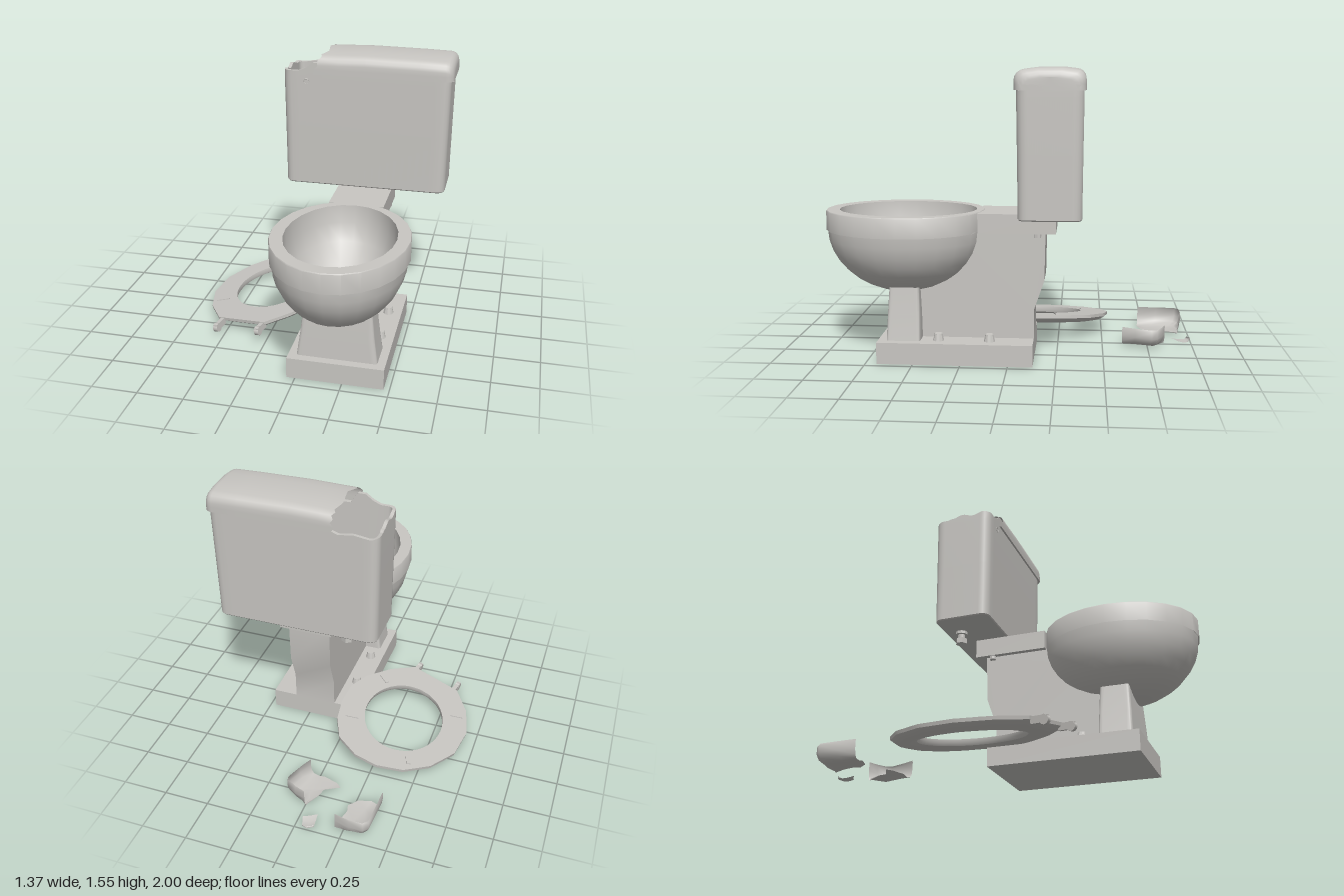
import * as THREE from 'three';
import { toCreasedNormals } from 'three/addons/utils/BufferGeometryUtils.js';

const porcelain = new THREE.MeshStandardMaterial({ color: 0xc8c6c2, side: THREE.DoubleSide });
porcelain.name = 'porcelain';

const CX = 0.212; // centre line of the bowl and base

function add(parent, name, geo, x = 0, y = 0, z = 0, crease = 0.6) {
  const mesh = new THREE.Mesh(toCreasedNormals(geo, crease), porcelain);
  mesh.name = name;
  mesh.position.set(x, y, z);
  parent.add(mesh);
  return mesh;
}

// Skin a list of equal-length rows of [x, y, z] points
function loft(rows, closed = true) {
  const n = rows[0].length, idx = [];
  for (let i = 0; i < rows.length - 1; i++)
    for (let j = 0; j < (closed ? n : n - 1); j++) {
      const a = i * n + j, b = i * n + (j + 1) % n;
      idx.push(a, a + n, b, b, a + n, b + n);
    }
  const g = new THREE.BufferGeometry();
  g.setAttribute('position', new THREE.Float32BufferAttribute(rows.flat(2), 3));
  g.setIndex(idx);
  return g;
}

// Egg-shaped ring with separate front and back lengths
function egg(y, rx, front, back, cz = 0.56) {
  return Array.from({ length: 24 }, (_, i) => {
    const a = i / 24 * Math.PI * 2, c = Math.cos(a);
    return [CX + rx * Math.sin(a), y, cz + c * (c > 0 ? front : back)];
  });
}

// Rounded rectangle ring, long edges subdivided; y may depend on x and z
function roundRect(x0, x1, z0, z1, r, yOf) {
  const pts = [];
  const corners = [[x1 - r, z1 - r], [x0 + r, z1 - r], [x0 + r, z0 + r], [x1 - r, z0 + r]];
  corners.forEach(([cx, cz], k) => {
    for (let i = 0; i <= 4; i++) {
      const a = (k + i / 4) * Math.PI / 2;
      pts.push([cx + r * Math.cos(a), cz + r * Math.sin(a)]);
    }
    const p = pts[pts.length - 1], q = corners[(k + 1) % 4], a = (k + 1) * Math.PI / 2;
    const e = [q[0] + r * Math.cos(a), q[1] + r * Math.sin(a)];
    for (let i = 1; i < 20; i++) pts.push([p[0] + (e[0] - p[0]) * i / 20, p[1] + (e[1] - p[1]) * i / 20]);
  });
  return pts.map(([x, z]) => [x, typeof yOf === 'function' ? yOf(x, z) : yOf, z]);
}

function buildBowl(g) {
  // Outer half shell, rim, then the inside down to the drain
  const rows = [];
  for (let i = 0; i <= 9; i++) {
    const a = (1 - i / 9) * Math.PI / 2, s = Math.cos(a);
    rows.push(egg(0.69 - 0.348 * Math.sin(a), 0.344 * s, 0.425 * s, 0.428 * s, 0.565));
  }
  rows.push(egg(0.683, 0.355, 0.437, 0.42), egg(0.785, 0.355, 0.437, 0.42), egg(0.79, 0.352, 0.434, 0.417));
  rows.push(egg(0.79, 0.285, 0.365, 0.378), egg(0.695, 0.28, 0.36, 0.37));
  rows.push(egg(0.6, 0.25, 0.33, 0.33), egg(0.51, 0.19, 0.27, 0.23, 0.55));
  rows.push(egg(0.46, 0.11, 0.18, 0.11, 0.51), egg(0.445, 0.06, 0.08, 0.06, 0.48));
  rows.push(egg(0.405, 0.045, 0.05, 0.05, 0.47), egg(0.4, 0, 0, 0, 0.47));
  add(g, 'bowl', loft(rows));
  add(g, 'bowlNeck', new THREE.BoxGeometry(0.3, 0.104, 0.41), CX, 0.735, -0.04);
  for (const s of [-1, 1])
    add(g, 'neckBolt', new THREE.CylinderGeometry(0.018, 0.018, 0.025, 8), CX + s * 0.13, 0.675, -0.15);
}

function buildPedestal(g) {
  add(g, 'base', new THREE.BoxGeometry(0.515, 0.115, 0.82), CX, 0.0575, 0.28);
  // Rear body cut to the underside of the bowl
  const side = new THREE.Shape([[0.13, 0.11], [0.13, 0.27], [0.185, 0.43], [0.19, 0.69], [-0.17, 0.69],
    [-0.2, 0.6], [-0.3, 0.455], [-0.48, 0.385], [-0.48, 0.11]].map(p => new THREE.Vector2(...p)));
  const body = new THREE.ExtrudeGeometry(side, { depth: 0.24, bevelEnabled: false });
  body.rotateY(Math.PI / 2);
  add(g, 'pedestalBody', body, CX - 0.12);
  // Flared front column
  const col = (y, hx, z0, z1) => roundRect(CX - hx, CX + hx, z0, z1, 0.015, y);
  add(g, 'pedestalColumn', loft([col(0.11, 0.215, 0.465, 0.645), col(0.25, 0.195, 0.468, 0.64), col(0.395, 0.18, 0.475, 0.632)]));
  // Floor bolts
  for (const s of [-1, 1]) for (const z of [0.1, 0.37])
    add(g, 'floorBolt', new THREE.CylinderGeometry(0.021, 0.03, 0.04, 10), CX + s * 0.183, 0.133, z);
}

function buildTank(g) {
  // Broken top at the right-hand end: the front wall climbs to the lid, the back stays low
  const brokenTop = (x, z) => {
    if (x > 0) return 1.435;
    if (z < -0.3) return 1.425 + 0.006 * Math.sin(x * 40);
    if (z < -0.1) return 1.44 + 0.008 * Math.sin(z * 50);
    return x < -0.13 ? 1.447 : x < -0.1 ? 1.465 : 1.495;
  };
  const ring = (t, inset, y) => roundRect(-0.237 - 0.008 * t + inset, 0.657 + 0.008 * t - inset,
    -0.38 - 0.005 * t + inset, -0.064 + 0.008 * t - inset, 0.045 - inset, y);
  const flat = y => roundRect(CX, CX, -0.22, -0.22, 0, y);
  add(g, 'tank', loft([flat(0.797), ring(0, 0.005, 0.797), ring(0, 0, 0.803), ring(0.5, 0, 1.12), ring(1, 0, 1.4),
    ring(1, 0, brokenTop), ring(1, 0.018, brokenTop), ring(0, 0.018, 0.83), flat(0.83)]));
  add(g, 'leverHole', new THREE.TorusGeometry(0.014, 0.002, 6, 16), -0.113, 1.39, -0.056);

  // Water inlet under the tank
  add(g, 'inletPipe', new THREE.CylinderGeometry(0.02, 0.02, 0.08, 10), -0.05, 0.765, -0.29);
  add(g, 'inletNut', new THREE.CylinderGeometry(0.032, 0.032, 0.03, 6), -0.05, 0.74, -0.29);
  add(g, 'inletCollar', new THREE.CylinderGeometry(0.034, 0.034, 0.018, 10), -0.05, 0.79, -0.29);

  // Lid: a hollow arch swept along x, broken at one end and rounded at the other
  const arch = (x, inset, drop, jag, squash = 1) => {
    const h = 0.175 - inset, top = 1.547 - drop, r = 0.05, half = [[0.15, 1.432], [h, 1.432], [h, 1.46]];
    for (let i = 0; i <= 4; i++) {
      const a = i / 4 * Math.PI / 2;
      half.push([h - r + r * Math.cos(a), top - 0.008 - r + r * Math.sin(a)]);
    }
    half.push([h * 0.35, top]);
    const pts = [...half, ...half.slice().reverse().map(([z, y]) => [-z, y])];
    return pts.map(([z, y], i) => [x + (jag ? jag[i] : 0), y, -0.22 + z * squash]);
  };
  const jag = [-0.06, -0.055, -0.05, -0.03, -0.035, -0.02, -0.012, -0.02, 0.01, -0.01, 0.012, 0.0, 0.015, 0.005, 0.02, 0.0, 0.015, 0.01];
  const rows = [arch(-0.02, 0, 0.006, jag), arch(0.06, 0, 0.004), arch(0.21, 0, 0), arch(0.5, 0, 0.004), arch(0.635, 0, 0.008)];
  for (let i = 1; i <= 5; i++) {
    const a = i / 5 * Math.PI / 2, c = 0.045 * (1 - Math.cos(a));
    rows.push(arch(0.635 + 0.045 * Math.sin(a), c, 0.008 + c));
  }
  rows.push(arch(0.68, 0.045, 0.053, null, 0));
  add(g, 'tankLid', loft(rows, false), 0, 0, 0, 0.8);
}

function buildSeat(g) {
  const seat = new THREE.Group();
  seat.name = 'looseSeat';
  const ox = -0.33;
  const outline = [[-0.555, 0.28], [-0.65, 0.13], [-0.695, -0.05], [-0.67, -0.24], [-0.57, -0.4], [-0.44, -0.5],
    [-0.295, -0.535], [-0.165, -0.515], [-0.04, -0.43], [0.02, -0.3], [0.045, -0.15], [0.04, 0], [-0.015, 0.13],
    [-0.13, 0.265], [-0.26, 0.36]].map(([x, z]) => [x - ox, z]);
  // Split each outline edge, and pair every point with one on the elliptical opening
  const outer = outline.flatMap((p, i) => {
    const q = outline[(i + 1) % outline.length];
    return [0, 1, 2].map(k => [p[0] + (q[0] - p[0]) * k / 3, p[1] + (q[1] - p[1]) * k / 3]);
  });
  const inner = outer.map(([x, z]) => {
    const a = Math.atan2((z + 0.1) / 0.277, (x - 0.005) / 0.226);
    return [0.005 + 0.226 * Math.cos(a), -0.1 + 0.277 * Math.sin(a)];
  });
  const row = (t, y) => outer.map(([x, z], i) => [x + (inner[i][0] - x) * t, y, z + (inner[i][1] - z) * t]);
  // Flat face upward, rounded face against the floor
  add(seat, 'seatRing', loft([row(0, 0.02), row(0.01, 0.002), row(0.15, -0.014), row(0.4, -0.026), row(0.75, -0.026),
    row(0.95, -0.014), row(1, 0.002), row(1, 0.02), row(0, 0.02)]));
  // Rubber pads and hinge lugs
  for (const [x, z, a] of [[-0.44, -0.41, -1.2], [-0.605, 0.06, 0.2], [-0.12, 0.16, -0.75], [-0.05, -0.24, 0.2]])
    add(seat, 'seatPad', new THREE.BoxGeometry(0.075, 0.02, 0.022), x - ox, 0.015, z).rotation.y = a;
  for (const [x, z] of [[-0.54, 0.325], [-0.278, 0.38]]) {
    add(seat, 'hingeLug', new THREE.BoxGeometry(0.024, 0.036, 0.09), x - ox, -0.002, z).rotation.y = -0.2;
    const knob = add(seat, 'hingeKnob', new THREE.CylinderGeometry(0.025, 0.025, 0.026, 12), x - ox - 0.006, -0.006, z + 0.026);
    knob.rotation.set(0, -0.2, Math.PI / 2);
  }
  seat.position.set(ox, 0.08, 0);
  seat.rotation.z = 0.17;
  g.add(seat);
}

// Broken lid shard: wall along the outer path, floor reaching to the broken edge
function shard(g, outer, broken, height) {
  const row = (t, y) => outer.map(([x, z], i) => [x + (broken[i][0] - x) * t, y, z + (broken[i][1] - z) * t]);
  add(g, 'lidShard', loft([row(0.03, height), row(0, height * 0.9), row(0, height * 0.55), row(0.07, height * 0.27),
    row(0.22, height * 0.1), row(0.6, 0.004), row(1, 0.012)], false), 0, 0, 0, 1);
}

export function createModel() {
  const g = new THREE.Group();
  g.name = 'brokenToilet';
  buildBowl(g);
  buildPedestal(g);
  buildTank(g);
  buildSeat(g);
  shard(g, [[-0.395, -0.72], [-0.395, -0.83], [-0.39, -0.94], [-0.365, -0.965], [-0.29, -0.965], [-0.205, -0.945]],
    [[-0.33, -0.71], [-0.26, -0.73], [-0.22, -0.78], [-0.23, -0.82], [-0.215, -0.88], [-0.2, -0.935]], 0.11);
  shard(g, [[0.055, -0.61], [0.09, -0.68], [0.125, -0.77], [0.115, -0.8], [0.06, -0.83], [0, -0.85]],
    [[-0.03, -0.62], [-0.11, -0.645], [-0.14, -0.67], [-0.06, -0.71], [-0.05, -0.76], [-0.01, -0.83]], 0.11);
  shard(g, [[-0.1, -0.98], [-0.07, -1], [-0.04, -0.99]], [[-0.09, -0.89], [-0.06, -0.91], [-0.02, -0.93]], 0.02);
  return g;
}
